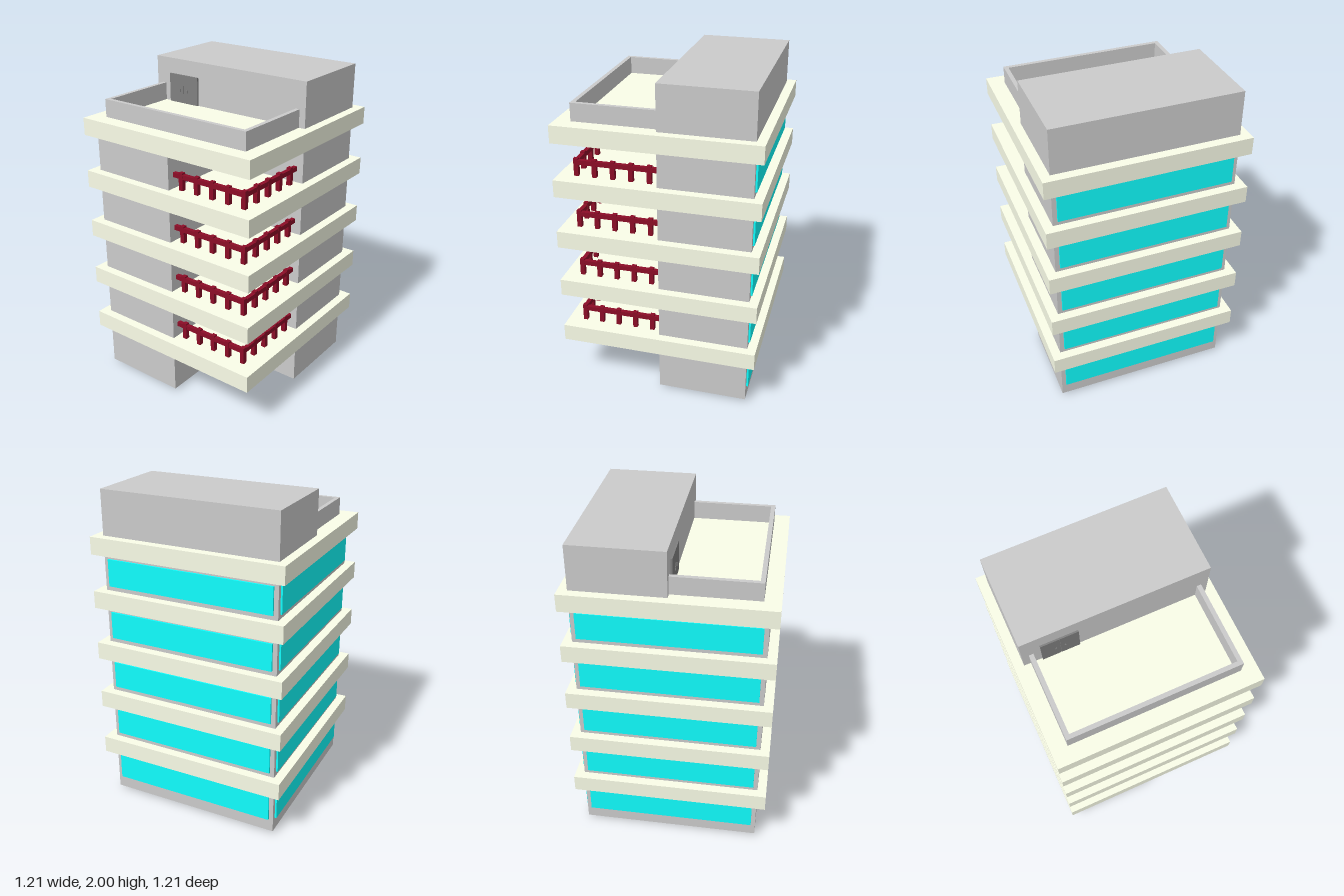
import * as THREE from 'three';

const PITCH = 0.3315; // storey height
const mat = (color) => new THREE.MeshStandardMaterial({ color });
const grey = mat(0xcccccc);
const cream = mat(0xfafde8);
const cyan = mat(0x10ffff);
const red = mat(0x8c0d27);
const dark = mat(0x808080);

// Box given by its extents along each axis
function box(parent, name, material, [x0, x1], [y0, y1], [z0, z1]) {
  const mesh = new THREE.Mesh(new THREE.BoxGeometry(x1 - x0, y1 - y0, z1 - z0), material);
  mesh.position.set((x0 + x1) / 2, (y0 + y1) / 2, (z0 + z1) / 2);
  mesh.name = name;
  parent.add(mesh);
}

// L-shaped storey with the front corner at -x cut out for the balcony
function storeyWalls(y0, y1) {
  const shape = new THREE.Shape(
    [[-0.55, 0], [0, 0], [0, -0.55], [0.55, -0.55], [0.55, 0.55], [-0.55, 0.55]]
      .map(([x, y]) => new THREE.Vector2(x, y)));
  const geometry = new THREE.ExtrudeGeometry(shape, { depth: y1 - y0, bevelEnabled: false });
  geometry.rotateX(-Math.PI / 2);
  const mesh = new THREE.Mesh(geometry, grey);
  mesh.position.y = y0;
  mesh.name = 'storeyWalls';
  return mesh;
}

// Balcony railing along the front and the side, posts set through the slab
function railing(slabBottom) {
  const group = new THREE.Group();
  group.name = 'balconyRailing';
  const top = slabBottom + 0.213, h = 0.0135;
  const railY = [top - 0.037, top - 0.009];
  box(group, 'frontRail', red, [-0.51, 0], railY, [0.485, 0.51]);
  box(group, 'sideRail', red, [-0.51, -0.485], railY, [0, 0.51]);
  for (let i = 0; i < 5; i++) {
    const p = 0.497 - i * 0.11;
    const postY = [slabBottom - 0.001, top];
    box(group, 'frontPost', red, [-p - h, -p + h], postY, [0.497 - h, 0.497 + h]);
    if (i > 0) box(group, 'sidePost', red, [-0.497 - h, -0.497 + h], postY, [p - h, p + h]);
  }
  return group;
}

// Double door facing -x, with two handles
function door(y0, y1, z) {
  const group = new THREE.Group();
  group.name = 'doubleDoor';
  const mid = (y0 + y1) / 2;
  box(group, 'leftLeaf', dark, [-0.01, 0.098], [y0, y1], [z - 0.11, z - 0.0008]);
  box(group, 'rightLeaf', dark, [-0.01, 0.098], [y0, y1], [z + 0.0008, z + 0.11]);
  for (const s of [-1, 1]) {
    const c = z + s * 0.027;
    box(group, 'handle', dark, [-0.015, -0.009], [mid - 0.01, mid + 0.01], [c - 0.004, c + 0.004]);
  }
  return group;
}

export function createModel() {
  const model = new THREE.Group();
  model.name = 'apartmentBuilding';

  for (let i = 0; i < 5; i++) {
    const dy = i * PITCH;
    const slab = 0.297 + dy;
    model.add(storeyWalls(i ? slab - PITCH + 0.106 : 0.018, slab));
    box(model, 'floorSlab', cream, [-0.605, 0.605], [slab, slab + 0.106], [-0.605, 0.605]);

    // Window bands on the side and the back
    const glassY = [0.1 + dy, 0.266 + dy];
    box(model, 'sideWindow', cyan, [0.54, 0.561], glassY, [-0.523, 0.523]);
    box(model, 'backWindow', cyan, [-0.523, 0.523], glassY, [-0.561, -0.54]);

    if (i < 4) model.add(railing(slab));
  }

  // Rooftop room and terrace parapet
  const roof = 0.297 + 4 * PITCH + 0.106;
  box(model, 'rooftopRoom', grey, [0, 0.55], [roof, 2], [-0.55, 0.55]);
  const wallY = [roof, 1.837];
  box(model, 'sideParapet', grey, [-0.51, -0.484], wallY, [-0.51, 0.51]);
  box(model, 'frontParapet', grey, [-0.484, 0], wallY, [0.484, 0.51]);
  box(model, 'backParapet', grey, [-0.484, 0], wallY, [-0.51, -0.484]);

  // Entrance and terrace doors
  model.add(door(0.003, 0.2, 0.222));
  model.add(door(roof - 0.02, 1.905, -0.332));
  return model;
}
